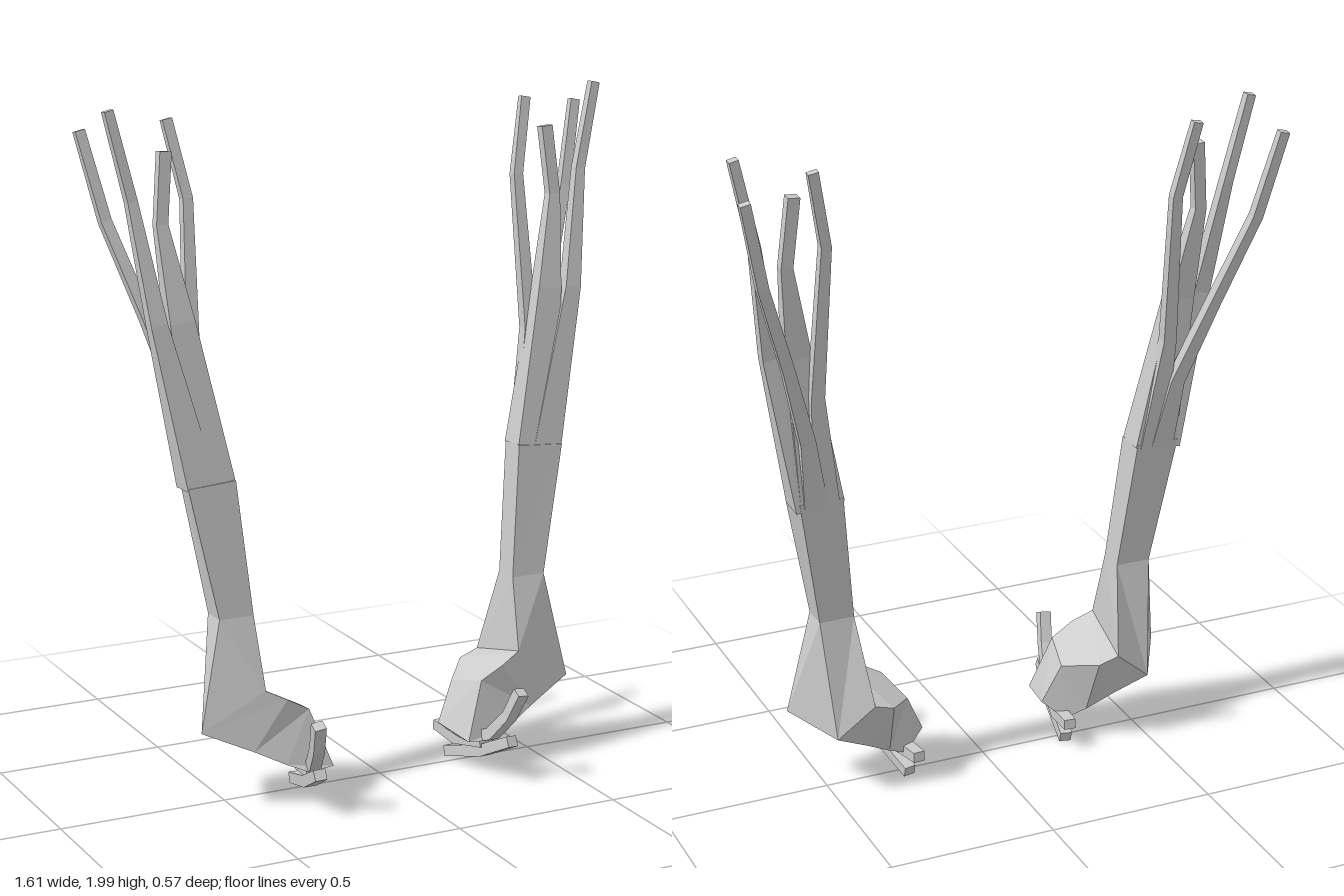
import * as THREE from 'three';

const material = new THREE.MeshStandardMaterial({ color: 0xcccccc, flatShading: true, side: THREE.DoubleSide });

// Skins a list of four-cornered sections and caps both ends; side -1 mirrors it in x
function loft(name, sections, side) {
  const pos = [];
  const tri = (a, b, c) => {
    for (const p of side > 0 ? [a, b, c] : [a, c, b]) pos.push(p[0] * side, p[1], p[2]);
  };
  const quad = (a, b, c, d) => { tri(a, b, c); tri(a, c, d); };
  for (let i = 0; i < sections.length - 1; i++) {
    const a = sections[i], b = sections[i + 1];
    for (let k = 0; k < 4; k++) {
      const n = (k + 1) % 4;
      quad(a[k], a[n], b[n], b[k]);
    }
  }
  const s = sections[0], e = sections[sections.length - 1];
  quad(s[3], s[2], s[1], s[0]);
  quad(e[0], e[1], e[2], e[3]);
  const geo = new THREE.BufferGeometry();
  geo.setAttribute('position', new THREE.Float32BufferAttribute(pos, 3));
  geo.computeVertexNormals();
  const mesh = new THREE.Mesh(geo, material);
  mesh.name = name;
  return mesh;
}

// Rectangular sections along a path of [x, y, z, width, depth]
function barSections(path) {
  const pts = path.map(p => new THREE.Vector3(p[0], p[1], p[2]));
  return path.map((p, i) => {
    const t = pts[Math.min(i + 1, pts.length - 1)].clone().sub(pts[Math.max(i - 1, 0)]).normalize();
    const u = new THREE.Vector3(1, 0, 0);
    u.addScaledVector(t, -u.dot(t)).normalize();
    const v = t.clone().cross(u);
    return [[1, 1], [-1, 1], [-1, -1], [1, -1]].map(([a, b]) =>
      pts[i].clone().addScaledVector(u, a * p[3] / 2).addScaledVector(v, b * p[4] / 2).toArray());
  });
}

// Corners run outer front, outer back, inner back, inner front, from toe end to stem top
const body = [
  [[0.30, 0.105, 0.15], [0.26, 0.075, -0.03], [0.195, 0.13, 0.0], [0.22, 0.11, 0.145]],
  [[0.36, 0.13, 0.13], [0.32, 0.105, -0.05], [0.25, 0.25, -0.02], [0.28, 0.28, 0.11]],
  [[0.45, 0.175, 0.105], [0.40, 0.15, -0.07], [0.33, 0.28, -0.115], [0.35, 0.32, 0.115]],
  [[0.595, 0.24, 0.065], [0.50, 0.205, -0.10], [0.39, 0.30, -0.12], [0.41, 0.35, 0.10]],
  [[0.525, 0.56, 0.042], [0.525, 0.56, -0.04], [0.42, 0.56, -0.04], [0.42, 0.56, 0.042]],
  [[0.60, 0.94, 0.01], [0.59, 0.955, -0.08], [0.46, 0.955, -0.08], [0.455, 0.95, 0.01]],
];

const branches = {
  frontBranch: [[0.52, 0.94, -0.035, 0.13, 0.085], [0.585, 1.4, -0.07, 0.075, 0.05],
    [0.622, 1.67, -0.105, 0.035, 0.03], [0.602, 1.87, -0.12, 0.035, 0.03]],
  outerBranch: [[0.555, 0.94, -0.035, 0.09, 0.085], [0.658, 1.4, -0.055, 0.05, 0.04],
    [0.708, 1.74, -0.105, 0.03, 0.03], [0.765, 1.99, -0.12, 0.027, 0.026]],
  backBranch: [[0.54, 0.94, -0.06, 0.07, 0.04], [0.57, 1.15, -0.095, 0.045, 0.03],
    [0.645, 1.4, -0.165, 0.035, 0.03], [0.735, 1.67, -0.235, 0.032, 0.028], [0.79, 1.92, -0.275, 0.03, 0.022]],
  innerBranch: [[0.51, 0.94, -0.055, 0.08, 0.05], [0.54, 1.28, -0.095, 0.04, 0.035],
    [0.525, 1.73, -0.15, 0.03, 0.028], [0.568, 1.95, -0.183, 0.03, 0.02]],
};

const toes = {
  raisedToe: [[0.27, 0.10, 0.08, 0.035, 0.035], [0.29, 0.13, 0.16, 0.035, 0.035],
    [0.31, 0.20, 0.225, 0.035, 0.032], [0.325, 0.285, 0.268, 0.035, 0.032]],
  lowerToe: [[0.31, 0.13, 0.245, 0.035, 0.032], [0.285, 0.068, 0.12, 0.04, 0.035],
    [0.255, 0.02, -0.045, 0.035, 0.032]],
  backToe: [[0.28, 0.10, 0.13, 0.035, 0.035], [0.255, 0.08, 0.01, 0.04, 0.035],
    [0.245, 0.09, -0.095, 0.035, 0.03]],
};

export function createModel() {
  const model = new THREE.Group();
  model.name = 'branchingPair';
  for (const side of [1, -1]) {
    const half = new THREE.Group();
    half.name = side > 0 ? 'leftHalf' : 'rightHalf';
    half.add(loft('footAndStem', body, side));
    for (const [name, path] of Object.entries({ ...branches, ...toes })) {
      half.add(loft(name, barSections(path), side));
    }
    model.add(half);
  }
  return model;
}
